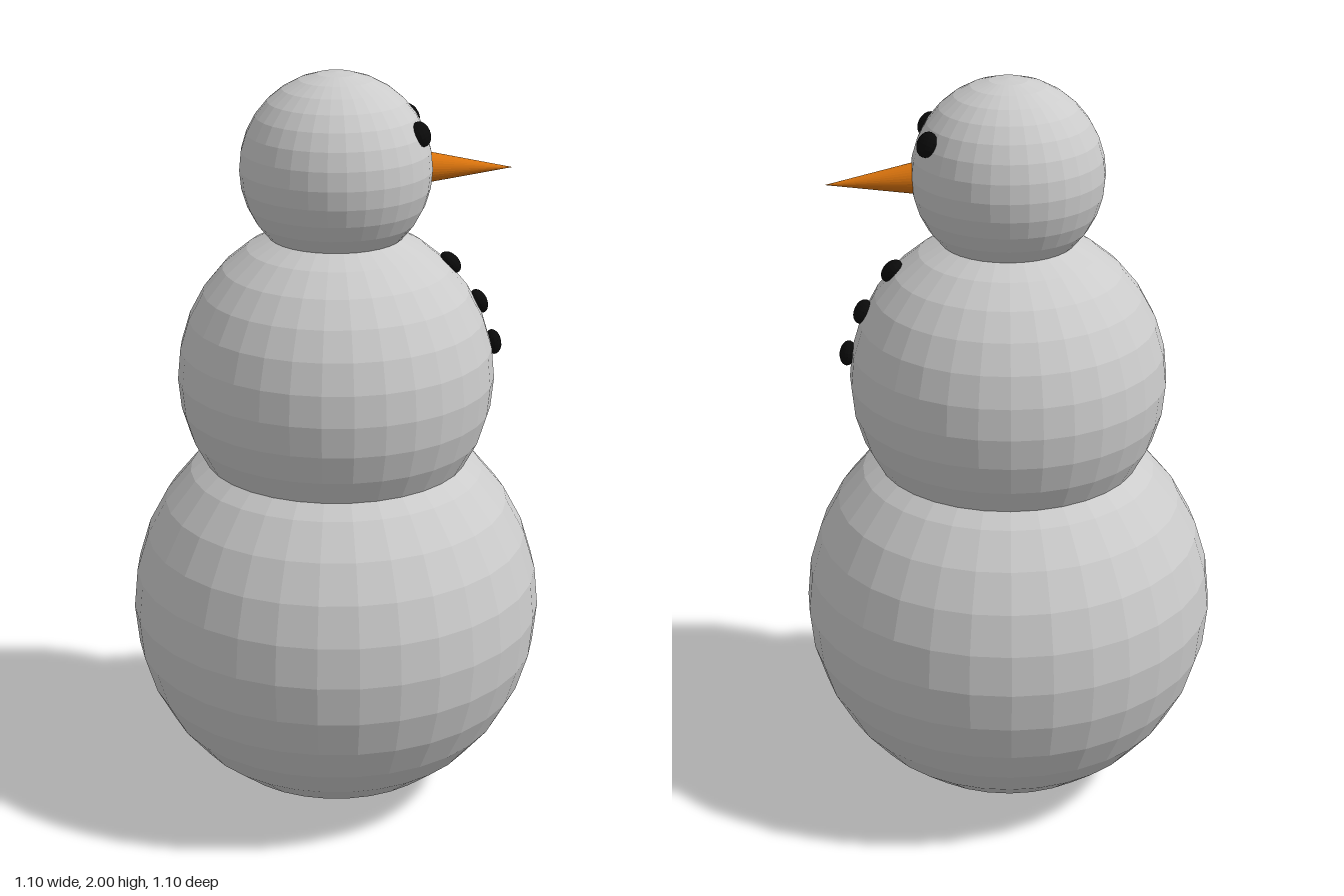
import * as THREE from 'three';

export function createModel() {
  const model = new THREE.Group();
  model.name = 'snowman';

  const snow = new THREE.MeshStandardMaterial({ color: 0xcccccc, flatShading: true });
  const coal = new THREE.MeshStandardMaterial({ color: 0x0a0a0a, flatShading: true });
  const carrot = new THREE.MeshStandardMaterial({ color: 0xd9730d, flatShading: true });

  const add = (name, geometry, material) => {
    const mesh = new THREE.Mesh(geometry, material);
    mesh.name = name;
    model.add(mesh);
    return mesh;
  };

  // Three stacked snowballs: name, radius, centre height
  for (const [name, radius, y] of [
    ['lowerBody', 0.55, 0.55],
    ['upperBody', 0.416, 1.2],
    ['head', 0.247, 1.753],
  ]) {
    add(name, new THREE.SphereGeometry(radius, 32, 16), snow).position.y = y;
  }

  // A flattened piece of coal lying on the surface of the ball centred at height ballY
  const addCoal = (name, x, y, z, ballY) => {
    const mesh = add(name, new THREE.SphereGeometry(0.033, 16, 10), coal);
    mesh.position.set(x, y, z);
    mesh.lookAt(2 * x, 2 * y - ballY, 2 * z);
    mesh.scale.z = 0.66;
  };

  // Eyes
  addCoal('leftEye', 0.202, 1.862, -0.105, 1.753);
  addCoal('rightEye', 0.204, 1.857, 0.094, 1.753);

  // Buttons down the chest
  [[0.3, 1.494, 0], [0.378, 1.384, -0.005], [0.419, 1.269, -0.008]].forEach(
    ([x, y, z], i) => addCoal(`button${i + 1}`, x, y, z, 1.2));

  // Carrot nose, base sunk slightly into the head and tip turned a little aside
  const base = new THREE.Vector3(0.225, 1.747, -0.011);
  const tip = new THREE.Vector3(0.462, 1.735, -0.03);
  const axis = tip.clone().sub(base);
  const nose = add('nose', new THREE.ConeGeometry(0.042, axis.length(), 32), carrot);
  nose.position.copy(base).add(tip).multiplyScalar(0.5);
  nose.quaternion.setFromUnitVectors(new THREE.Vector3(0, 1, 0), axis.normalize());

  return model;
}
